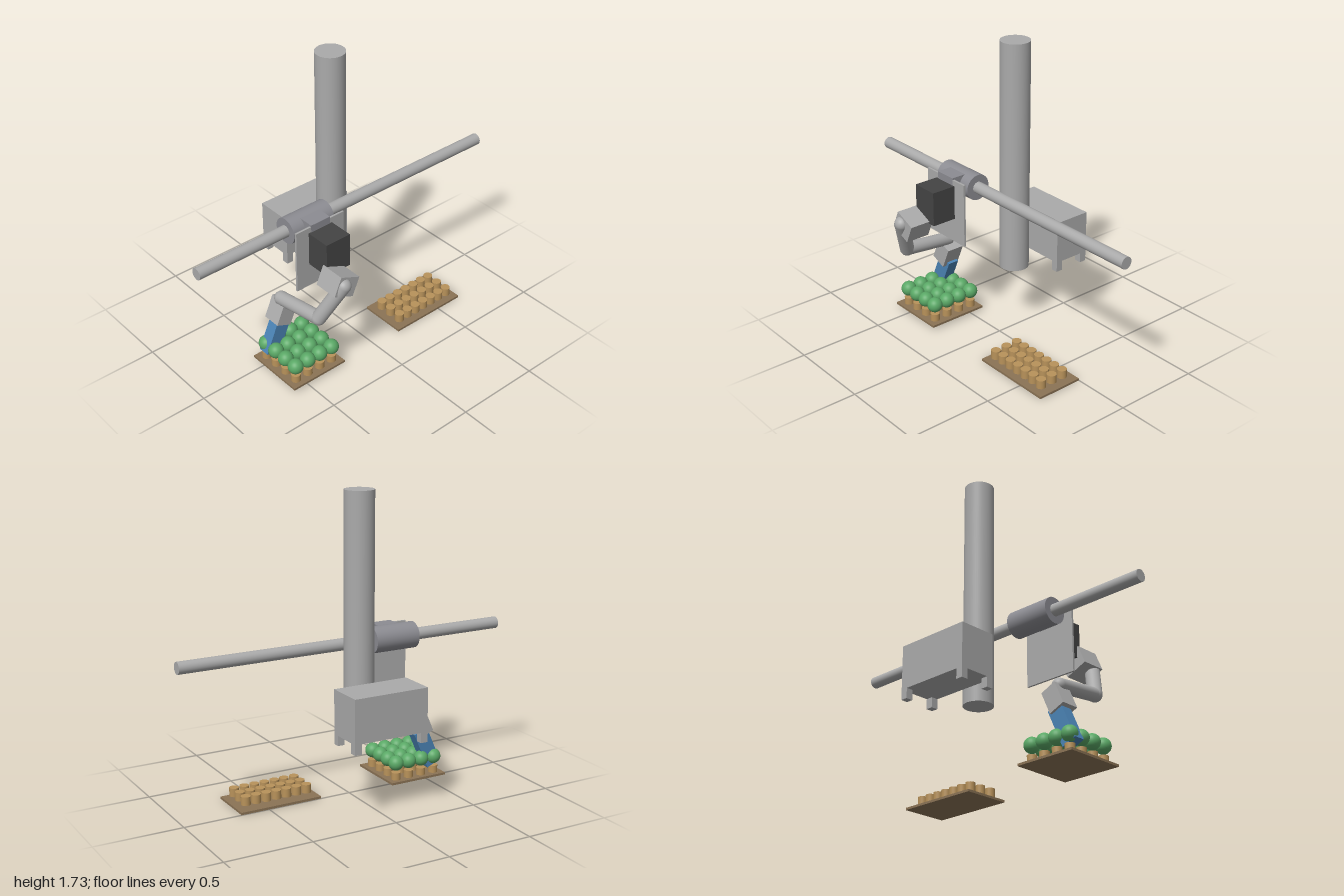
import * as THREE from 'three';

const mat = (name, color) => {
  const m = new THREE.MeshStandardMaterial({ color });
  m.name = name;
  return m;
};

export function createModel() {
  const root = new THREE.Group();
  root.name = 'transplantingRobot';
  const grey = mat('light grey', 0xaaaaaa);
  const steel = mat('carriage grey', 0x8c8c92);
  const dark = mat('dark grey', 0x444444);
  const blue = mat('gripper blue', 0x4a82b4);
  const green = mat('plant green', 0x5aa866);
  const tan = mat('pot tan', 0xb8925a);
  const brown = mat('tray brown', 0x8b7355);

  const add = (name, geo, material, x, y, z, parent = root) => {
    const m = new THREE.Mesh(geo, material);
    m.name = name;
    m.position.set(x, y, z);
    parent.add(m);
    return m;
  };
  // Box given by its lower and upper corners
  const span = (name, material, a, b, parent) => add(name,
    new THREE.BoxGeometry(b[0] - a[0], b[1] - a[1], b[2] - a[2]), material,
    (a[0] + b[0]) / 2, (a[1] + b[1]) / 2, (a[2] + b[2]) / 2, parent);
  // Round-ended arm link between two joints
  const link = (name, a, b, r) => {
    const p = new THREE.Vector3(...a), q = new THREE.Vector3(...b);
    const d = q.clone().sub(p);
    const m = add(name, new THREE.CapsuleGeometry(r, d.length(), 12, 32), grey, 0, 0, 0);
    m.position.copy(p).add(q).multiplyScalar(0.5);
    m.quaternion.setFromUnitVectors(new THREE.Vector3(0, 1, 0), d.normalize());
  };

  // Column and cross rail
  add('column', new THREE.CylinderGeometry(0.083, 0.083, 1.329, 48), grey, 0, 1.0625, -0.108);
  add('rail', new THREE.CylinderGeometry(0.034, 0.034, 2, 40), grey, 0, 0.862, 0.026).rotation.z = Math.PI / 2;

  // Carriage riding on the rail
  add('carriage', new THREE.CylinderGeometry(0.075, 0.075, 0.273, 48), steel, -0.2915, 0.862, 0.026).rotation.z = Math.PI / 2;
  span('bracket', steel, [-0.353, 0.841, 0.03], [-0.225, 0.928, 0.15]);
  span('mountPlate', grey, [-0.452, 0.543, 0.136], [-0.128, 0.917, 0.148]);
  span('motorBox', dark, [-0.369, 0.686, 0.147], [-0.211, 0.885, 0.294]);

  // Arm
  const tilt = -0.41;
  add('shoulder', new THREE.BoxGeometry(0.135, 0.115, 0.146), grey, -0.336, 0.673, 0.344).rotation.z = tilt;
  const joints = [[-0.353, 0.686, 0.41], [-0.445, 0.462, 0.314], [-0.46, 0.422, 0.012]];
  link('upperArm', joints[0], joints[1], 0.041);
  link('forearm', joints[1], joints[2], 0.039);
  add('wrist', new THREE.BoxGeometry(0.098, 0.137, 0.108), grey, -0.46, 0.338, 0.009).rotation.z = tilt;
  add('gripper', new THREE.BoxGeometry(0.09, 0.23, 0.068), blue, -0.503, 0.19, 0.004).rotation.z = tilt;

  // Control cabinet on four short legs
  const cabinet = new THREE.Group();
  cabinet.name = 'cabinet';
  root.add(cabinet);
  span('cabinetBody', grey, [-0.223, 0.455, -0.45], [0.223, 0.702, -0.231], cabinet);
  for (const x of [-0.203, 0.203]) for (const z of [-0.43, -0.251])
    add('cabinetLeg', new THREE.BoxGeometry(0.04, 0.057, 0.04), grey, x, 0.4265, z, cabinet);

  const potGeo = new THREE.CylinderGeometry(0.027, 0.027, 0.049, 24);
  const plantGeo = new THREE.SphereGeometry(0.044, 28, 18);

  // Tray with grown plants
  const plants = new THREE.Group();
  plants.name = 'plantTray';
  root.add(plants);
  span('plantTrayBoard', brown, [-0.602, 0.02, -0.072], [-0.243, 0.033, 0.291], plants);
  for (let i = 0; i < 4; i++) for (let j = 0; j < 4; j++) {
    const x = -0.549 + i * 0.084, z = -0.021 + j * 0.086;
    add('pot', potGeo, tan, x, 0.051, z, plants);
    add('plant', plantGeo, green, x, 0.13, z, plants);
  }

  // Tray of empty pots
  const seeds = new THREE.Group();
  seeds.name = 'seedTray';
  root.add(seeds);
  span('seedTrayBoard', brown, [0.179, 0, 0.001], [0.666, 0.013, 0.277], seeds);
  for (let i = 0; i < 7; i++) for (let j = 0; j < 3; j++)
    add('pot', potGeo, tan, 0.235 + i * 0.062, 0.051, 0.072 + j * 0.075, seeds);

  return root;
}
